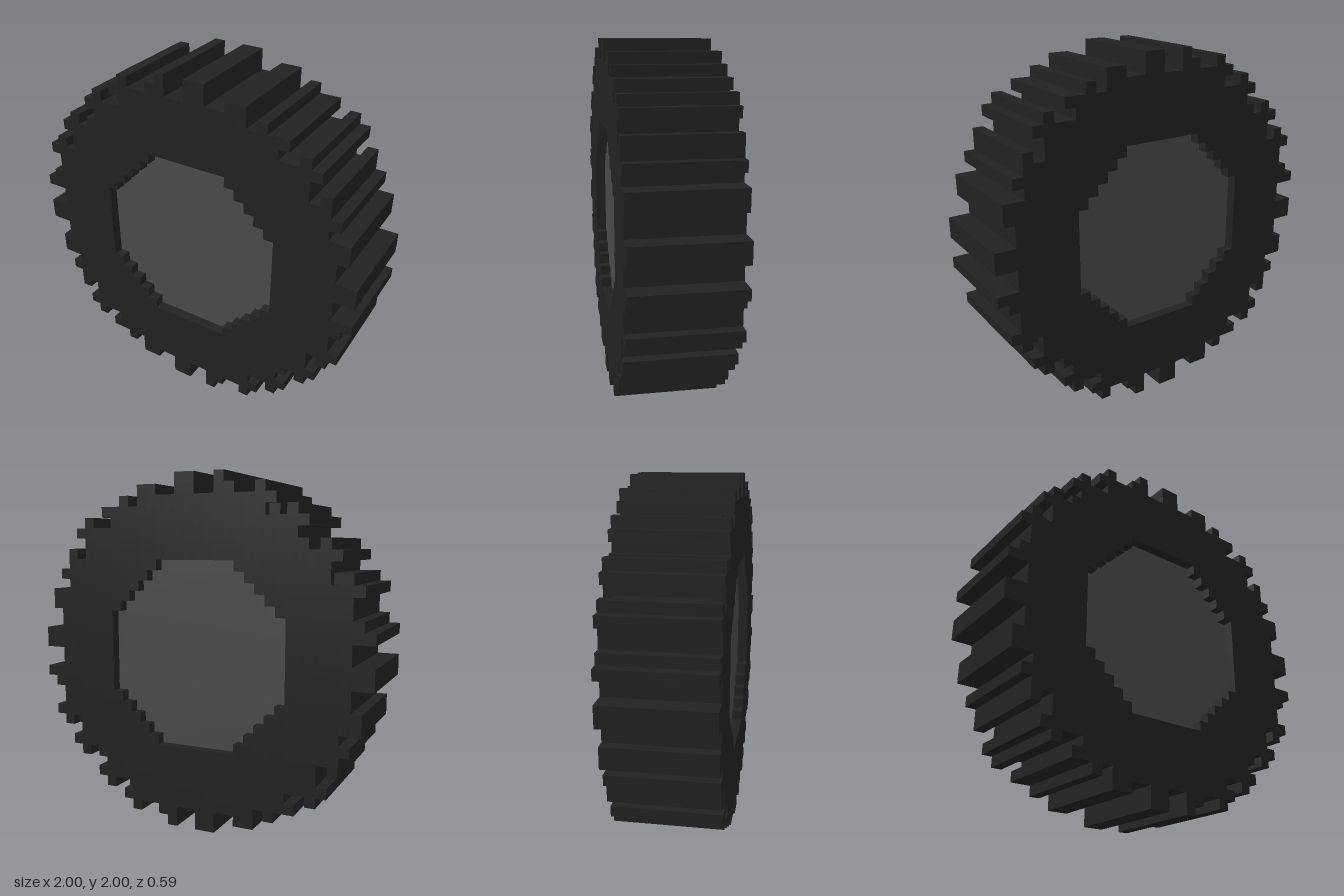
import * as THREE from 'three';

const U = 2 / 34;      // size of one block
const RIM = 5;         // half thickness of the tyre, in blocks
const INSET = 4;       // half thickness of the hub and of the small pits

// Upper half of the treaded outline: from/to pairs per row, upwards from the axle
const ROWS = [
  [-15, 17], [-15, 17], [-17, 15], [-16, 15], [-15, 16], [-15, 16],
  [-16, 14], [-15, 15], [-13, 14], [-14, 12, 13, 14], [-13, -12, -11, 12],
  [-10, 13], [-11, 9, 11, 12], [-10, -9, -8, 10], [-8, 6, 7, 8],
  [-7, -6, -4, -2, 0, 2, 4, 6], [-3, -2, 0, 2],
];
// Half width of the hub per row, upwards from the axle
const HUB = [9, 9, 9, 9, 8, 7, 6, 5, 4];

const inHub = (i, j) => {
  const x = Math.abs(i + 0.5);
  const y = Math.floor(Math.abs(j + 0.5));
  return y < HUB.length && x < HUB[y];
};

// Half thickness of the wheel at block (i, j); the lower half is the upper one turned round
function halfDepth(i, j) {
  if (j < 0) return halfDepth(-1 - i, -1 - j);
  const row = ROWS[j];
  if (!row) return 0;
  for (let k = 0; k < row.length; k += 2) {
    if (i >= row[k] && i < row[k + 1]) {
      const pit = (i === -8 && j === 13) || (i === -14 && j === 7);
      return pit || inHub(i, j) ? INSET : RIM;
    }
  }
  return 0;
}

function tyreGeometry() {
  const pos = [];
  const quad = (a, b, c, d) => {
    for (const p of [a, b, c, a, c, d]) pos.push(p[0] * U, p[1] * U, p[2] * U);
  };
  for (let j = -17; j < 17; j++) {
    for (let i = -17; i < 17; i++) {
      const h = halfDepth(i, j);
      if (!h || inHub(i, j)) continue;
      // front and back faces
      quad([i, j, h], [i + 1, j, h], [i + 1, j + 1, h], [i, j + 1, h]);
      quad([i, j + 1, -h], [i + 1, j + 1, -h], [i + 1, j, -h], [i, j, -h]);
      // walls towards lower or empty neighbours
      for (const [dx, dy] of [[1, 0], [-1, 0], [0, 1], [0, -1]]) {
        const n = halfDepth(i + dx, j + dy);
        if (n >= h) continue;
        const ex = i + 0.5 + dx / 2, ey = j + 0.5 + dy / 2;
        const a = [ex + dy / 2, ey - dx / 2], b = [ex - dy / 2, ey + dx / 2];
        for (const [z0, z1] of n ? [[n, h], [-h, -n]] : [[-h, h]]) {
          quad([...a, z0], [...b, z0], [...b, z1], [...a, z1]);
        }
      }
    }
  }
  const geo = new THREE.BufferGeometry();
  geo.setAttribute('position', new THREE.Float32BufferAttribute(pos, 3));
  geo.computeVertexNormals();
  return geo;
}

// Stepped octagon
function hubGeometry() {
  const quarter = [];
  HUB.forEach((w, y) => quarter.push([w, y], [w, y + 1]));
  const flipped = quarter.slice().reverse();
  const outline = [
    ...quarter,
    ...flipped.map(([x, y]) => [-x, y]),
    ...quarter.map(([x, y]) => [-x, -y]),
    ...flipped.map(([x, y]) => [x, -y]),
  ].filter(([x, y]) => y !== 0);
  const shape = new THREE.Shape(outline.map(([x, y]) => new THREE.Vector2(x * U, y * U)));
  const geo = new THREE.ExtrudeGeometry(shape, { depth: 2 * INSET * U, bevelEnabled: false });
  return geo.translate(0, 0, -INSET * U);
}

export function createModel() {
  const rubber = new THREE.MeshStandardMaterial({ color: 0x222222 });
  rubber.name = 'black rubber';
  const metal = new THREE.MeshStandardMaterial({ color: 0x4a4a4a });
  metal.name = 'grey metal';

  const wheel = new THREE.Group();
  wheel.name = 'wheel';
  const tyre = new THREE.Mesh(tyreGeometry(), rubber);
  tyre.name = 'treadedTyre';
  const hub = new THREE.Mesh(hubGeometry(), metal);
  hub.name = 'hub';
  wheel.add(tyre, hub);
  wheel.position.y = 1;

  const model = new THREE.Group();
  model.name = 'model';
  model.add(wheel);
  return model;
}
